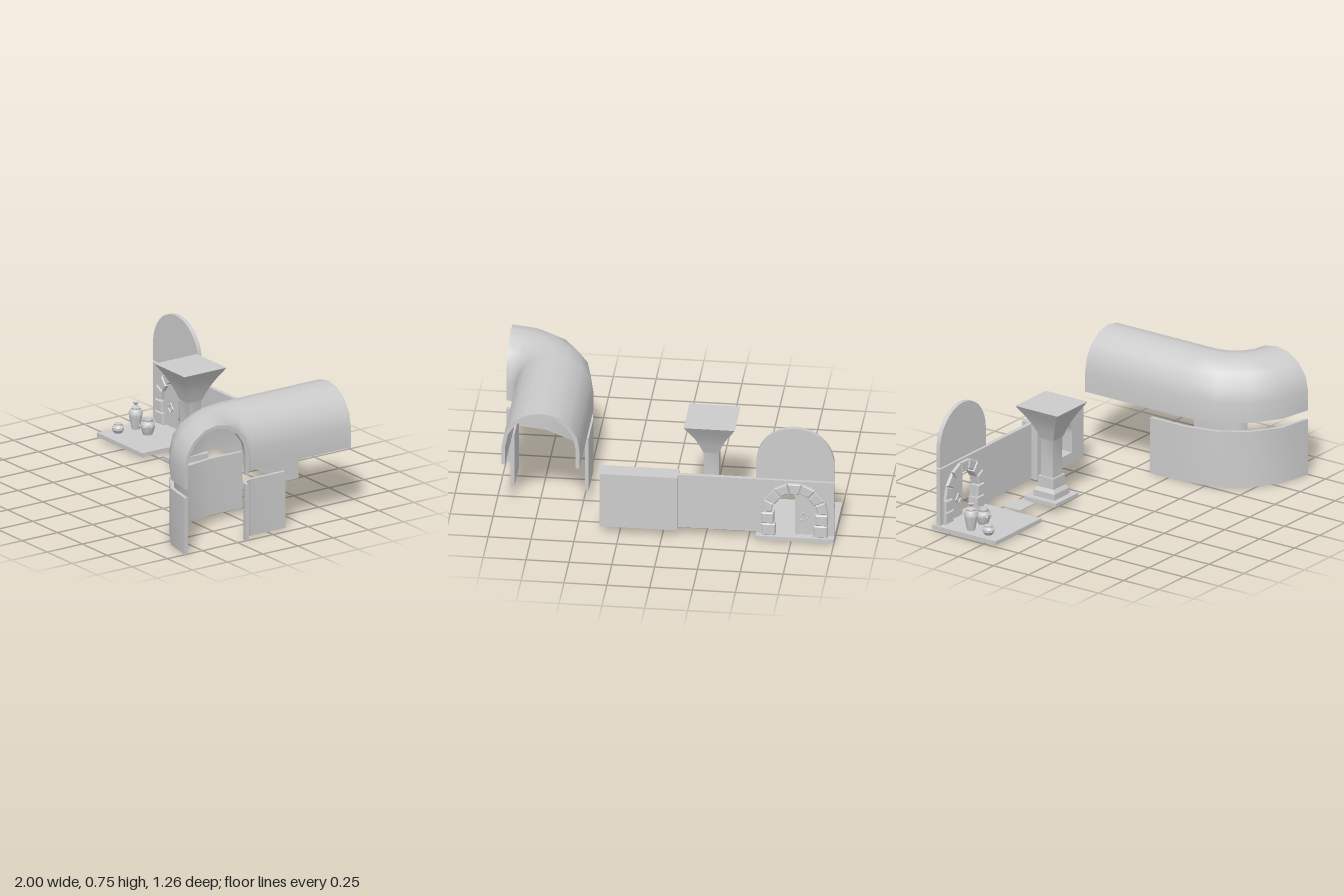
import * as THREE from 'three';
import { toCreasedNormals } from 'three/addons/utils/BufferGeometryUtils.js';

const grey = new THREE.MeshStandardMaterial({ color: 0xcccccc });
const flat = new THREE.MeshStandardMaterial({ color: 0xcccccc, flatShading: true });

export function createModel() {
  const model = new THREE.Group();

  function add(name, geometry, material = grey, parent = model) {
    const mesh = new THREE.Mesh(geometry, material);
    mesh.name = name;
    parent.add(mesh);
    return mesh;
  }

  // Box given by its limits on each axis
  function box(name, x0, x1, y0, y1, z0, z1) {
    const mesh = add(name, new THREE.BoxGeometry(x1 - x0, y1 - y0, z1 - z0));
    mesh.position.set((x0 + x1) / 2, (y0 + y1) / 2, (z0 + z1) / 2);
    return mesh;
  }

  // Extrusion of a front-view shape between two depths
  function slab(name, shape, z0, z1, parent = model) {
    const g = new THREE.ExtrudeGeometry(shape, { depth: z1 - z0, bevelEnabled: false, curveSegments: 10 });
    const mesh = add(name, toCreasedNormals(g, 0.6), grey, parent);
    mesh.position.z = z0;
    return mesh;
  }

  // Round-headed outline
  function archOutline(shape, cx, r, y0, spring) {
    shape.moveTo(cx - r, y0);
    shape.lineTo(cx + r, y0);
    shape.lineTo(cx + r, spring);
    shape.absarc(cx, spring, r, 0, Math.PI, false);
    shape.closePath();
    return shape;
  }

  function rectangle(x0, x1, y0, y1) {
    return new THREE.Shape([[x0, y0], [x1, y0], [x1, y1], [x0, y1]].map(p => new THREE.Vector2(...p)));
  }

  // Sweep a closed [offset, height] section around the bent corridor plan
  const bendX = 1, bendZ = 0.112, bendR = 0.2875, HALF = 0.2275, THICK = 0.022;
  function corridorSweep(name, section, endZ) {
    const frames = [0, 1, 2, 3, 4].map(i => ({ a: i * Math.PI / 8, z: bendZ }));
    frames.push({ a: Math.PI / 2, z: endZ });
    const n = section.length, positions = [], index = [];
    for (const f of frames) for (const [d, y] of section) {
      positions.push(bendX - Math.sin(f.a) * (bendR + d), y, f.z + Math.cos(f.a) * (bendR + d));
    }
    for (let k = 0; k < frames.length - 1; k++) for (let i = 0; i < n; i++) {
      const a = k * n + i, b = k * n + (i + 1) % n;
      index.push(a, b, b + n, a, b + n, a + n);
    }
    const caps = THREE.ShapeUtils.triangulateShape(section.map(p => new THREE.Vector2(...p)), []);
    const last = (frames.length - 1) * n;
    for (const [a, b, c] of caps) index.push(a, c, b, last + a, last + b, last + c);
    const g = new THREE.BufferGeometry();
    g.setAttribute('position', new THREE.Float32BufferAttribute(positions, 3));
    g.setIndex(index);
    return add(name, toCreasedNormals(g, 0.6));
  }

  // Vaulted corridor roof: outer arch, then inner arch back
  const vault = [];
  function archPoints(r, reverse) {
    const pts = [[r, 0.4]];
    for (let i = 0; i <= 8; i++) {
      const a = i * Math.PI / 8;
      pts.push([r * Math.cos(a), 0.52 + r * Math.sin(a)]);
    }
    pts.push([-r, 0.4]);
    vault.push(...(reverse ? pts.reverse() : pts));
  }
  archPoints(HALF, false);
  archPoints(HALF - THICK, true);
  corridorSweep('corridorVault', vault, -0.595);

  // Lower corridor walls on both sides of the bend
  for (const [name, d0, d1] of [['outerCorridorWall', HALF - THICK, HALF], ['innerCorridorWall', -HALF, THICK - HALF]]) {
    corridorSweep(name, [[d0, 0], [d1, 0], [d1, 0.345], [d0, 0.345]], -0.13);
  }

  // Floor slabs and plain wall
  box('floorSlab', -1, -0.545, 0.01, 0.035, -0.62, -0.165);
  box('floorTile', -0.525, -0.385, 0.035, 0.041, -0.46, -0.33);
  box('plainWall', -0.545, -0.09, 0.045, 0.39, -0.588, -0.562);

  // Round-headed upper wall
  slab('upperWall', archOutline(new THREE.Shape(), -0.7725, 0.2275, 0.4, 0.51), -0.588, -0.562);

  // Thick wall with a recessed niche
  const nicheFront = rectangle(-0.09, 0.365, 0.045, 0.39);
  nicheFront.holes.push(archOutline(new THREE.Path(), 0.135, 0.118, 0.112, 0.224));
  slab('nicheWall', nicheFront, -0.59, -0.52);
  box('nicheBack', -0.09, 0.365, 0.045, 0.39, -0.63, -0.59);

  // Doorway wall, open down to its base
  const cx = -0.77, spring = 0.185, mid = 0.155;
  const doorWall = new THREE.Shape();
  doorWall.moveTo(-1, 0.04);
  doorWall.lineTo(cx - mid, 0.04);
  doorWall.lineTo(cx - mid, spring);
  doorWall.absarc(cx, spring, mid, Math.PI, 0, true);
  doorWall.lineTo(cx + mid, 0.04);
  doorWall.lineTo(-0.545, 0.04);
  doorWall.lineTo(-0.545, 0.39);
  doorWall.lineTo(-1, 0.39);
  slab('doorWall', doorWall, -0.588, -0.562);

  // Stone surround: jamb blocks and wedge stones
  const surround = new THREE.Group();
  surround.name = 'doorSurround';
  model.add(surround);
  function stone(name, corners) {
    const g = new THREE.ExtrudeGeometry(new THREE.Shape(corners.map(p => new THREE.Vector2(...p))),
      { depth: 0.05, bevelThickness: 0.007, bevelSize: 0.006, bevelOffset: -0.006, bevelSegments: 1 });
    add(name, g, flat, surround).position.z = -0.603;
  }
  for (const s of [-1, 1]) {
    [[0.037, 0.11, 0.112], [0.112, 0.182, 0.122]].forEach(([y0, y1, inner]) => {
      const a = cx + s * inner, b = cx + s * 0.193;
      stone('jambStone', s > 0 ? [[a, y0], [b, y0], [b, y1], [a, y1]] : [[b, y0], [a, y0], [a, y1], [b, y1]]);
    });
  }
  for (let i = 0; i < 7; i++) {
    const a0 = i * Math.PI / 7 + 0.012, a1 = (i + 1) * Math.PI / 7 - 0.012;
    const rIn = i % 2 ? 0.128 : 0.135;
    const at = (r, a) => [cx + r * Math.cos(a), spring + r * Math.sin(a)];
    stone('archStone', [at(rIn, a0), at(0.197, a0), at(0.197, a1), at(rIn, a1)]);
  }

  // Closed door leaf filling half the opening
  const leaf = new THREE.Shape();
  leaf.moveTo(cx - 0.15, 0.04);
  leaf.lineTo(cx, 0.04);
  leaf.lineTo(cx, spring + 0.15);
  leaf.absarc(cx, spring, 0.15, Math.PI / 2, Math.PI, false);
  slab('doorLeaf', leaf, -0.582, -0.568);
  for (const z of [-0.562, -0.588]) {
    add('doorRing', new THREE.TorusGeometry(0.026, 0.004, 4, 4), flat).position.set(-0.82, 0.155, z);
    add('doorKnob', new THREE.OctahedronGeometry(0.01), flat).position.set(-0.82, 0.181, z);
  }

  // Lathe helper; four sides gives a square profile
  function turned(name, points, sides, x, z, material = grey) {
    const profile = points.map(p => new THREE.Vector2(...p));
    const g = new THREE.LatheGeometry(profile, sides, Math.PI / sides);
    const mesh = add(name, toCreasedNormals(g, 0.6), material);
    mesh.position.set(x, 0, z);
    return mesh;
  }

  // Square pillar with stepped foot and flared capital
  const q = Math.SQRT2;
  const pillar = [[0, 0.04], [0.113, 0.04], [0.113, 0.062], [0.074, 0.062], [0.074, 0.098], [0.057, 0.12],
    [0.057, 0.185], [0.044, 0.185], [0.044, 0.41], [0.05, 0.425], [0.066, 0.47], [0.086, 0.515],
    [0.11, 0.56], [0.15, 0.625], [0, 0.625]];
  turned('pillar', pillar.map(([r, y]) => [r * q, y]), 4, -0.255, -0.302);

  // Pots on the floor
  turned('tallJar', [[0, 0.035], [0.024, 0.035], [0.027, 0.05], [0.041, 0.115], [0.043, 0.13], [0.035, 0.15],
    [0.027, 0.158], [0.029, 0.166], [0.012, 0.172], [0.007, 0.182], [0.018, 0.198], [0, 0.198]], 10, -0.93, -0.39);
  turned('roundJar', [[0, 0.035], [0.028, 0.035], [0.034, 0.05], [0.046, 0.085], [0.045, 0.1], [0.033, 0.117],
    [0.036, 0.13], [0.028, 0.13], [0.024, 0.115], [0, 0.11]], 10, -0.81, -0.39);
  turned('smallPot', [[0, 0.035], [0.022, 0.035], [0.037, 0.055], [0.037, 0.07], [0.024, 0.085], [0.026, 0.092],
    [0.013, 0.096], [0, 0.096]], 10, -0.93, -0.265);

  // Studs around the round jar
  for (let i = 0; i < 6; i++) {
    const a = i * Math.PI / 3;
    add('jarStud', new THREE.OctahedronGeometry(0.007), flat)
      .position.set(-0.81 + 0.046 * Math.cos(a), 0.088, -0.39 + 0.046 * Math.sin(a));
  }

  return model;
}
